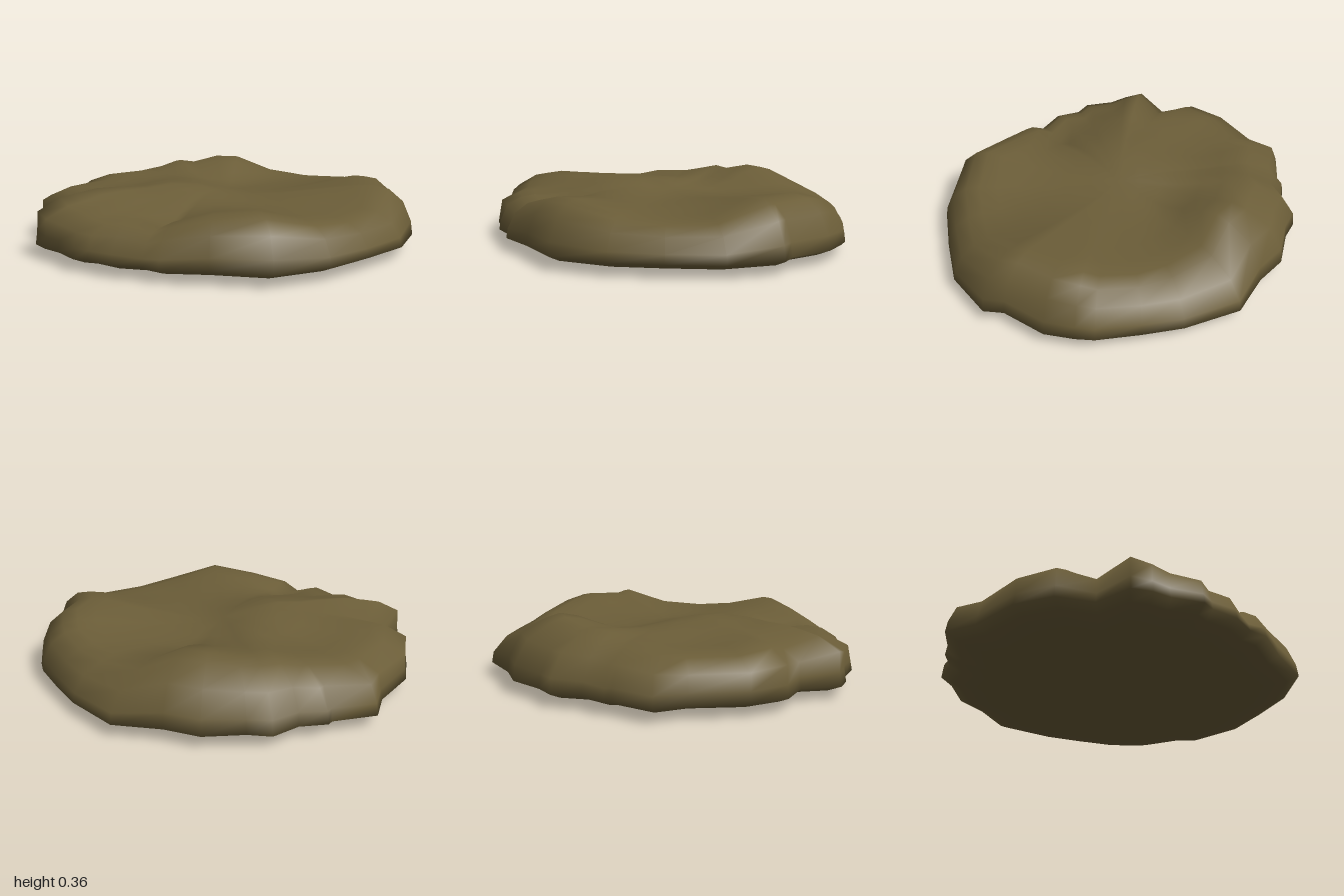
import * as THREE from 'three';

// Widest outline of the slab: x, z and the height of the rim crest there
const OUTLINE = [
  [1.0, -0.05, 0.34], [0.95, 0.19, 0.33], [0.98, 0.29, 0.34], [0.84, 0.54, 0.26],
  [0.62, 0.71, 0.25], [0.4, 0.86, 0.27], [0.11, 0.95, 0.33], [-0.17, 0.86, 0.31],
  [-0.4, 0.81, 0.27], [-0.48, 0.74, 0.23], [-0.62, 0.69, 0.27], [-0.73, 0.59, 0.25],
  [-0.8, 0.56, 0.27], [-0.88, 0.42, 0.28], [-0.95, 0.35, 0.3], [-1.0, 0.26, 0.33],
  [-0.91, 0.08, 0.27], [-1.0, -0.09, 0.31], [-0.97, -0.29, 0.29], [-0.82, -0.53, 0.28],
  [-0.78, -0.7, 0.3], [-0.56, -0.77, 0.31], [-0.54, -0.8, 0.31], [-0.4, -0.83, 0.33],
  [-0.28, -0.93, 0.35], [-0.16, -0.92, 0.34], [0.05, -0.95, 0.37], [0.23, -0.89, 0.37],
  [0.48, -0.86, 0.29], [0.7, -0.65, 0.27], [0.82, -0.48, 0.28], [0.94, -0.29, 0.3],
  [0.97, -0.2, 0.32],
];

// Height of the inner top as it settles from the crest h toward the middle
const FLOOR = 0.26;
const settle = (amount) => (h) => FLOOR + (h - FLOOR) * amount;

// Cross-section from underside to top: ring scale, and height from the crest height h
const RINGS = [
  [0.45, () => 0.014],
  [0.78, () => 0.027],
  [0.93, () => 0.05],
  [1.0, () => 0.08],
  [0.99, (h) => 0.05 + h * 0.3],
  [0.945, (h) => 0.02 + h * 0.7],
  [0.87, (h) => h * 0.95],
  [0.79, (h) => h],
  [0.69, settle(0.85)],
  [0.57, settle(0.55)],
  [0.44, settle(0.25)],
  [0.3, settle(0.08)],
  [0.15, settle(0)],
];
const WALL = 4;
const CREST = 7;

// Broad swellings and hollows of the top: x, z, radius, height
const BUMPS = [
  [-0.27, 0.1, 0.27, 0.085], [-0.2, -0.2, 0.2, 0.035], [-0.6, 0.2, 0.16, 0.03],
  [0.4, 0.15, 0.22, 0.02], [0.08, -0.33, 0.16, -0.02], [-0.35, 0.55, 0.13, -0.03],
];
const swell = (x, z) => BUMPS.reduce(
  (sum, [bx, bz, r, h]) => sum + h * Math.exp(-((x - bx) ** 2 + (z - bz) ** 2) / (r * r)), 0);

function buildSlab() {
  const n = OUTLINE.length;
  const positions = [0, 0.018, 0];
  RINGS.forEach(([scale, height], k) => {
    for (const [x, z, h] of OUTLINE) {
      let s = scale;
      // The rim slopes back further along the rear edge, and stands steeper on the right
      const rear = THREE.MathUtils.smoothstep(-z, 0.4, 0.9);
      const steep = THREE.MathUtils.smoothstep(-x, 0.5, 0.95);
      if (k > WALL) s -= 0.1 * rear * Math.min(1, scale / 0.6) * (k > WALL + 1 ? 1 : 0.3);
      if (k === WALL + 1) s += 0.04 * steep;
      let y = height(h);
      if (k > CREST) y += swell(x * s, z * s);
      positions.push(x * s, y, z * s);
    }
  });
  const top = positions.length / 3;
  positions.push(0, FLOOR + swell(0, 0), 0);

  const index = [];
  const last = RINGS.length - 1;
  const at = (k, i) => 1 + k * n + (i % n);
  for (let i = 0; i < n; i++) {
    index.push(0, at(0, i), at(0, i + 1));
    for (let k = 0; k < last; k++) {
      index.push(at(k, i), at(k + 1, i), at(k, i + 1));
      index.push(at(k, i + 1), at(k + 1, i), at(k + 1, i + 1));
    }
    index.push(at(last, i), top, at(last, i + 1));
  }

  const geometry = new THREE.BufferGeometry();
  geometry.setAttribute('position', new THREE.Float32BufferAttribute(positions, 3));
  geometry.setIndex(index);
  geometry.computeVertexNormals();
  return geometry;
}

export function createModel() {
  const earth = new THREE.MeshStandardMaterial({ color: 0x6b5d38 });
  earth.name = 'earth brown';
  const slab = new THREE.Mesh(buildSlab(), earth);
  slab.name = 'lumpySlab';
  const model = new THREE.Group();
  model.name = 'earthMound';
  model.add(slab);
  return model;
}
